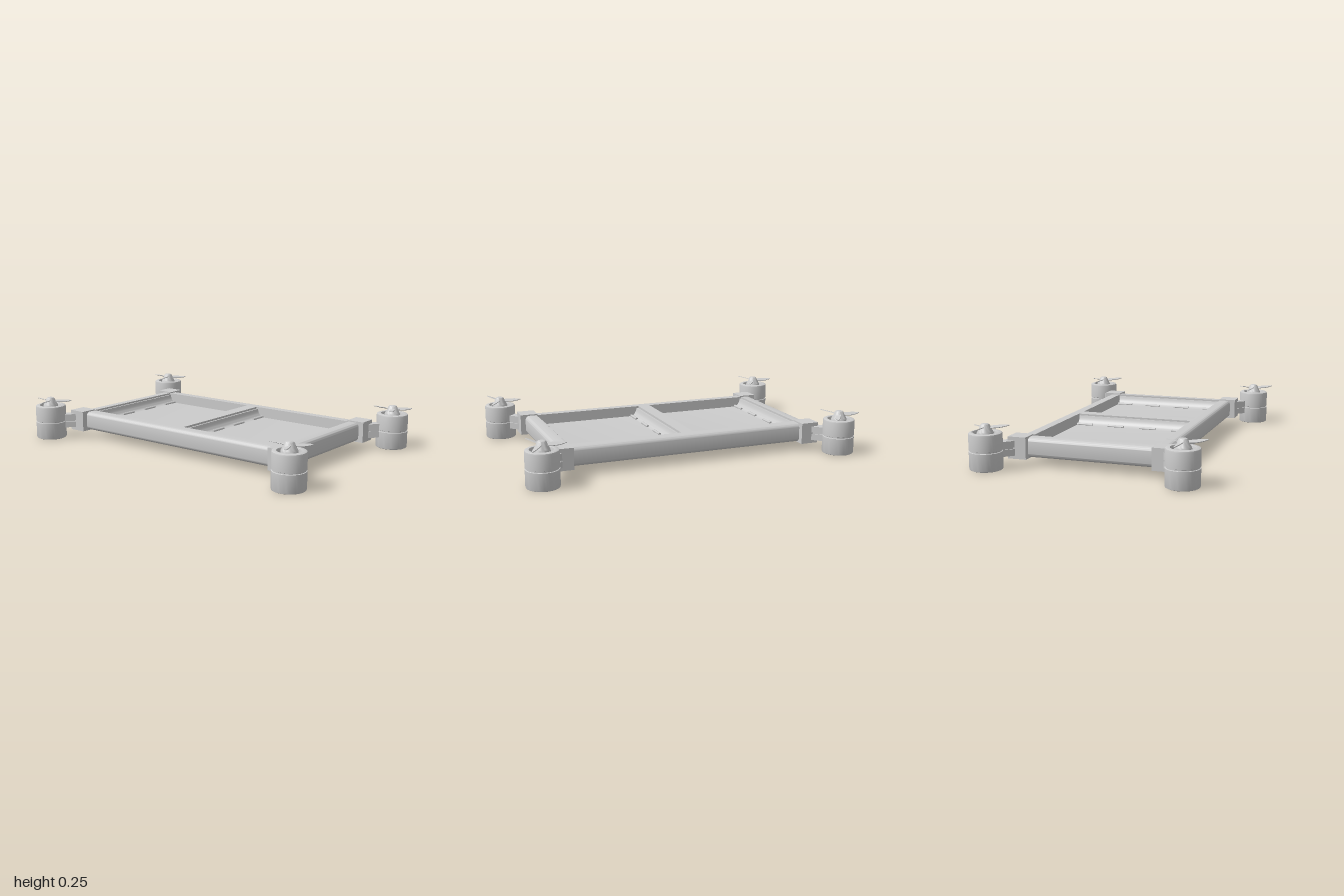
import * as THREE from 'three';
import { toCreasedNormals } from 'three/addons/utils/BufferGeometryUtils.js';

const grey = new THREE.MeshStandardMaterial({ color: 0xcccccc });
const thin = new THREE.MeshStandardMaterial({ color: 0xcccccc, side: THREE.DoubleSide });

function part(name, geometry, x = 0, y = 0, z = 0, material = grey) {
  const mesh = new THREE.Mesh(geometry, material);
  mesh.name = name;
  mesh.position.set(x, y, z);
  return mesh;
}

const box = (name, w, h, d, x, y, z) => part(name, new THREE.BoxGeometry(w, h, d), x, y, z);

// Centred extrusion with smooth curves and sharp edges
function extrude(shape, depth) {
  const g = new THREE.ExtrudeGeometry(shape, { depth, bevelEnabled: false, curveSegments: 8 });
  return toCreasedNormals(g.translate(0, 0, -depth / 2), 0.6);
}

const lathe = (pts, segments) => toCreasedNormals(
  new THREE.LatheGeometry(pts.map(([r, y]) => new THREE.Vector2(r, y)), segments), 0.6);

// Frame beam: square inside, rounded on the outward (+x) side
function beamGeometry(width, length) {
  const r = 0.026, y0 = 0.05, y1 = 0.16;
  const s = new THREE.Shape();
  s.moveTo(0, y0);
  s.lineTo(width - r, y0);
  s.absarc(width - r, y0 + r, r, -Math.PI / 2, 0, false);
  s.absarc(width - r, y1 - r, r, 0, Math.PI / 2, false);
  s.lineTo(0, y1);
  s.closePath();
  return extrude(s, length);
}

// Tray: thin sheet whose two ends sweep up to the cross beams
function trayGeometry(half, width) {
  const y = 0.1, top = 0.15, run = 0.055, t = 0.01;
  const s = new THREE.Shape();
  s.moveTo(-half, top);
  s.quadraticCurveTo(-half + 0.008, y - t, -half + run, y - t);
  s.lineTo(half - run, y - t);
  s.quadraticCurveTo(half - 0.008, y - t, half, top);
  s.lineTo(half - t, top);
  s.quadraticCurveTo(half - 0.02, y, half - run, y);
  s.lineTo(-half + run, y);
  s.quadraticCurveTo(-half + 0.02, y, -half + t, top);
  s.closePath();
  return extrude(s, width);
}

// Thin tapered propeller blade along +x, pitched about its length
function bladeGeometry() {
  const s = new THREE.Shape();
  s.moveTo(0.015, -0.01);
  s.bezierCurveTo(0.05, -0.024, 0.1, -0.018, 0.13, 0.004);
  s.bezierCurveTo(0.1, 0.015, 0.05, 0.016, 0.015, 0.01);
  s.closePath();
  return extrude(s, 0.004).rotateX(-Math.PI / 2 + 0.3);
}

function createThruster() {
  const g = new THREE.Group();
  g.name = 'thruster';
  // Housing with a waist groove and a recessed top
  g.add(part('housing', lathe([
    [0, 0], [0.083, 0], [0.089, 0.003], [0.091, 0.009], [0.091, 0.1], [0.086, 0.102],
    [0.086, 0.108], [0.091, 0.11], [0.091, 0.193], [0.089, 0.2], [0.083, 0.203],
    [0.066, 0.203], [0.064, 0.2], [0.064, 0.152], [0, 0.152],
  ], 40)));
  g.add(part('hub', lathe([
    [0.045, 0.15], [0.045, 0.2], [0.041, 0.208], [0.033, 0.222], [0.026, 0.24],
    [0.021, 0.247], [0.012, 0.25], [0, 0.251],
  ], 28)));
  const propeller = new THREE.Group();
  propeller.name = 'propeller';
  propeller.position.y = 0.228;
  propeller.rotation.z = -0.07;
  const geometry = bladeGeometry();
  for (let i = 0; i < 3; i++) {
    const blade = part('blade', geometry, 0, 0, 0, thin);
    blade.rotation.y = 1.48 + i * Math.PI * 2 / 3;
    propeller.add(blade);
  }
  g.add(propeller);
  return g;
}

export function createModel() {
  const model = new THREE.Group();
  model.name = 'quadrotorPlatform';
  const body = new THREE.Group();
  body.name = 'body';
  body.position.set(0.006, 0, 0.018);
  model.add(body);

  const inX = 0.355, outX = 0.427, inZ = 0.699, outZ = 0.766;

  // Outer frame
  for (const s of [1, -1]) {
    const side = part('sideBeam', beamGeometry(outX - inX, 1.5), s * inX);
    side.rotation.y = s > 0 ? 0 : Math.PI;
    const end = part('endBeam', beamGeometry(outZ - inZ, 0.8), 0, 0, s * inZ);
    end.rotation.y = -s * Math.PI / 2;
    body.add(side, end);
  }
  body.add(box('crossBeam', 2 * inX, 0.11, 0.075, 0, 0.105, -0.004));

  // Two trays, each with four hinge knuckles along both ends
  const knuckle = new THREE.CylinderGeometry(0.008, 0.008, 0.1, 12).rotateZ(Math.PI / 2);
  for (const s of [1, -1]) {
    const half = 0.329, z = s * 0.367;
    const tray = part('tray', trayGeometry(half, 0.7), 0, 0, z);
    tray.rotation.y = Math.PI / 2;
    body.add(tray);
    for (const e of [1, -1]) {
      for (let i = 0; i < 4; i++) {
        body.add(part('hingeKnuckle', knuckle, -0.3 + i * 0.2, 0.104, z + e * (half - 0.045)));
      }
    }
  }

  // Corner blocks, split arms and thrusters
  for (const sx of [1, -1]) {
    for (const sz of [1, -1]) {
      const bx = sx * 0.407, bz = sz * 0.743, tx = sx * 0.546, tz = sz * 0.882;
      body.add(box('cornerBlock', 0.105, 0.122, 0.105, bx, 0.106, bz));

      const length = Math.hypot(tx - bx, tz - bz) - 0.075;
      const arm = new THREE.Group();
      arm.name = 'arm';
      arm.position.set(bx, 0, bz);
      arm.rotation.y = Math.atan2(tx - bx, tz - bz);
      arm.add(
        box('armUpper', 0.058, 0.037, length, 0, 0.1265, length / 2),
        box('armLower', 0.058, 0.037, length, 0, 0.0815, length / 2),
        box('armCore', 0.044, 0.02, length, 0, 0.104, length / 2),
      );
      body.add(arm);

      const thruster = createThruster();
      thruster.position.set(tx, 0, tz);
      body.add(thruster);
    }
  }
  return model;
}
